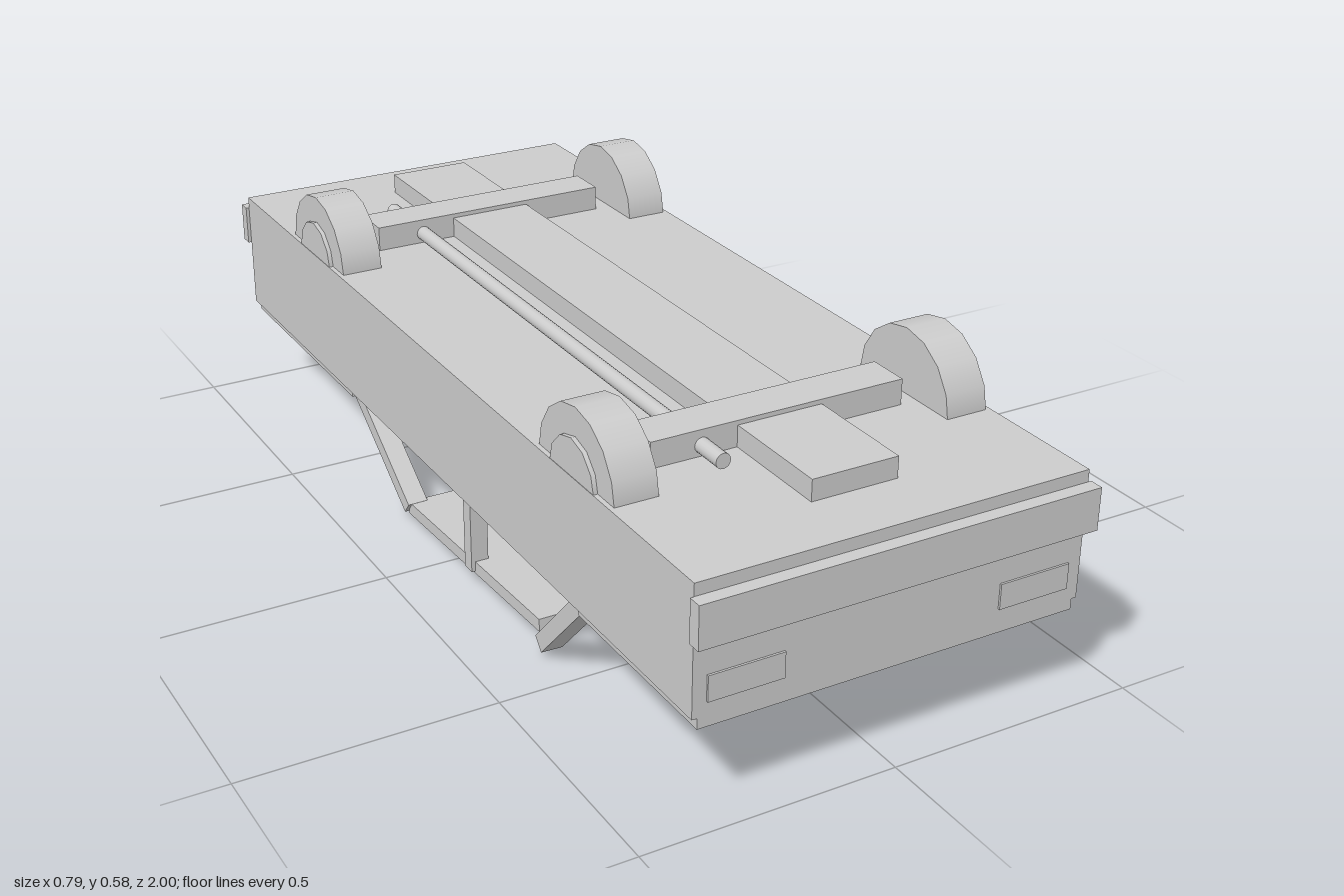
import * as THREE from 'three';

export function createModel() {
  const car = new THREE.Group();
  car.name = 'overturnedCar';
  const grey = new THREE.MeshStandardMaterial({ color: 0xcccccc });
  grey.name = 'plain grey';

  const add = (name, geometry) => {
    const mesh = new THREE.Mesh(geometry, grey);
    mesh.name = name;
    car.add(mesh);
    return mesh;
  };
  // Box given by its limits on each axis
  const box = (name, x0, x1, y0, y1, z0, z1) => {
    const m = add(name, new THREE.BoxGeometry(x1 - x0, y1 - y0, z1 - z0));
    m.position.set((x0 + x1) / 2, (y0 + y1) / 2, (z0 + z1) / 2);
    return m;
  };
  // Square bar running between two points
  const strut = (name, a, b, width, depth) => {
    const from = new THREE.Vector3(...a), to = new THREE.Vector3(...b);
    const m = add(name, new THREE.BoxGeometry(width, depth, from.distanceTo(to)));
    m.position.copy(from).add(to).multiplyScalar(0.5);
    m.lookAt(to);
    return m;
  };

  // Body shell, upside down, with the cabin open underneath
  box('rearBody', -0.39, 0.39, 0.213, 0.464, 0.575, 0.973);
  box('frontBody', -0.39, 0.39, 0.213, 0.464, -0.973, -0.43);
  box('floor', -0.39, 0.39, 0.434, 0.464, -0.43, 0.575);
  box('bootLid', -0.38, 0.38, 0.192, 0.213, 0.575, 0.973);
  box('bonnet', -0.38, 0.38, 0.192, 0.213, -0.968, -0.43);

  // Bumpers and lamps at both ends
  for (const e of [-1, 1]) {
    const zs = (a, b) => (e > 0 ? [a, b] : [-b, -a]);
    box('bumper', -0.397, 0.397, 0.357, 0.44, ...zs(0.973, 1));
    for (const s of [-1, 1]) {
      const cx = s * 0.29;
      box('lamp', cx - 0.073, cx + 0.073, 0.24, 0.29, ...zs(0.971, 0.977));
    }
  }

  // Running gear
  box('chassisBeam', -0.087, 0.087, 0.455, 0.506, -0.845, 0.842);
  const pipe = add('exhaustPipe', new THREE.CylinderGeometry(0.015, 0.015, 1.37, 16));
  pipe.rotation.x = Math.PI / 2;
  pipe.position.set(-0.158, 0.485, -0.003);
  for (const z of [-0.574, 0.57]) {
    box('axle', -0.26, 0.26, 0.45, 0.515, z - 0.043, z + 0.043);
    for (const s of [-1, 1]) {
      const wheel = add('wheel', new THREE.CylinderGeometry(0.135, 0.135, 0.085, 16));
      wheel.rotation.z = Math.PI / 2;
      wheel.position.set(s * 0.338, 0.456, z);
      const hub = add('hub', new THREE.CylinderGeometry(0.08, 0.08, 0.03, 12));
      hub.rotation.z = Math.PI / 2;
      hub.position.set(s * 0.374, 0.456, z);
    }
  }

  // Side walls, pillars
  for (const s of [-1, 1]) {
    box('sideWall', s * 0.375 - 0.015, s * 0.375 + 0.015, 0.213, 0.434, -0.43, 0.575);
    strut('rearPillar', [s * 0.353, 0.21, 0.57], [s * 0.346, 0.03, 0.395], 0.043, 0.034);
    strut('frontPillar', [s * 0.353, 0.21, -0.425], [s * 0.346, 0.033, -0.195], 0.043, 0.03);
    box('middlePillar', s * 0.35 - 0.018, s * 0.35 + 0.018, 0.04, 0.22, 0.085, 0.115);
  }
  // Sloping roof and the loose panel poking through it
  strut('roof', [0, 0.031, -0.2], [0, 0.062, 0.385], 0.72, 0.026);
  const panel = add('loosePanel', new THREE.BoxGeometry(0.345, 0.016, 0.3));
  panel.position.set(-0.087, 0.066, 0.182);
  panel.rotation.set(-0.185, 0, 0.145);

  // Interior
  box('rearSeatBack', -0.325, 0.325, 0.126, 0.4, 0.505, 0.54);
  box('rearSeat', -0.325, 0.325, 0.37, 0.434, 0.33, 0.54);
  for (const s of [-1, 1]) {
    const x0 = s * 0.188 - 0.103, x1 = s * 0.188 + 0.103;
    box('seatBack', x0, x1, 0.106, 0.4, -0.16, -0.12);
    box('seat', x0, x1, 0.37, 0.434, -0.3, -0.12);
  }
  const steering = add('steeringWheel', new THREE.CylinderGeometry(0.066, 0.066, 0.016, 20));
  steering.position.set(0.175, 0.2, -0.355);
  steering.rotation.x = 0.82;
  return car;
}
